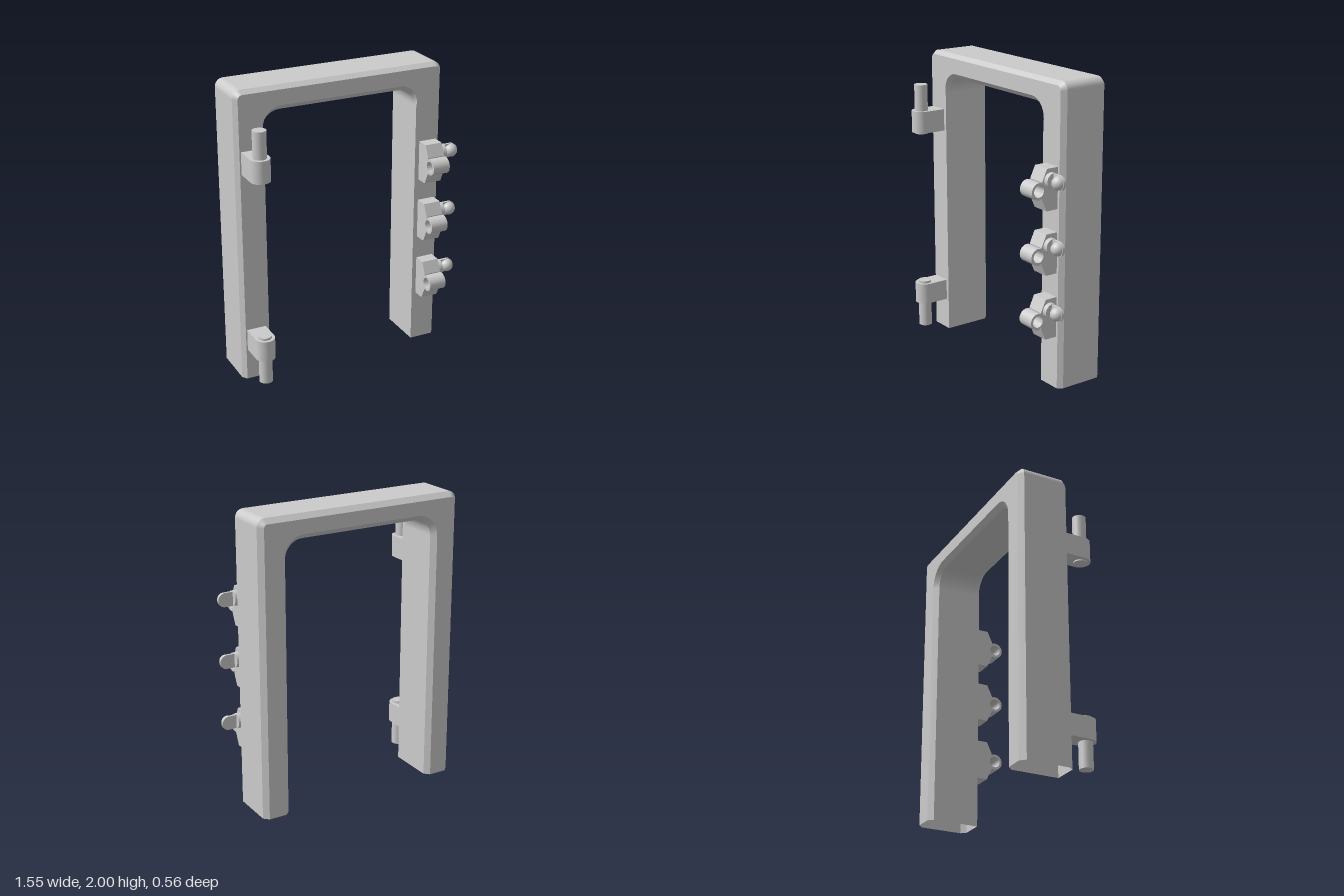
import * as THREE from 'three';
import { mergeGeometries } from 'three/addons/utils/BufferGeometryUtils.js';

const grey = new THREE.MeshStandardMaterial({ color: 0xcccccc, side: THREE.DoubleSide });

function add(parent, name, geometry, x = 0, y = 0, z = 0) {
  const mesh = new THREE.Mesh(geometry, grey);
  mesh.name = name;
  mesh.position.set(x, y, z);
  parent.add(mesh);
  return mesh;
}

// Arch path with rounded top corners: points with their outward normals
function archPath(left, right, top, r, n = 8) {
  const path = [{ x: left, y: 0, nx: -1, ny: 0 }];
  for (const [cx, start] of [[left + r, Math.PI], [right - r, Math.PI / 2]]) {
    for (let i = 0; i <= n; i++) {
      const a = start - (i / n) * Math.PI / 2;
      const nx = Math.cos(a), ny = Math.sin(a);
      path.push({ x: cx + nx * r, y: top - r + ny * r, nx, ny });
    }
  }
  path.push({ x: right, y: 0, nx: 1, ny: 0 });
  return path;
}

// Hollow chamfered arch, open at the feet; one smooth strip per side of its section
function archGeometry() {
  const outer = archPath(-0.78, 0.68, 2, 0.055);
  const inner = archPath(-0.59, 0.49, 1.84, 0.12);
  const c = 0.033, front = 0.07, back = -0.28;
  const rail = (path, z, inset) => path.map((p) => {
    const d = inset(p);
    return [p.x + p.nx * d, Math.max(0, p.y + p.ny * d), z];
  });
  const rails = [
    rail(outer, front - c, () => 0),
    rail(outer, back + c, () => 0),
    rail(outer, back, () => -c),
    rail(inner, back, () => c),
    rail(inner, back + c, () => 0),
    rail(inner, front - c, () => 0),
    rail(inner, front, (p) => c * Math.max(0, p.ny)), // front inner chamfer fades out on the legs
    rail(outer, front, () => -c * 0.75),
  ];
  const strips = rails.map((a, k) => {
    const b = rails[(k + 1) % rails.length];
    const n = a.length, index = [];
    for (let i = 0; i < n - 1; i++) index.push(i, i + 1, n + i, i + 1, n + i + 1, n + i);
    const g = new THREE.BufferGeometry();
    g.setAttribute('position', new THREE.Float32BufferAttribute([...a, ...b].flat(), 3));
    g.setIndex(index);
    g.computeVertexNormals();
    return g;
  });
  return mergeGeometries(strips);
}

const extrude = (shape, depth) =>
  new THREE.ExtrudeGeometry(shape, { depth, bevelEnabled: false, curveSegments: 16 });

// Hinge: round-nosed block with a vertical pin
function hinge(name, blockY, blockH, pinLow, pinHigh) {
  const g = new THREE.Group();
  g.name = name;
  const r = 0.066, nose = 0.212;
  const s = new THREE.Shape();
  s.moveTo(-r, -0.06);
  s.lineTo(r, -0.06);
  s.lineTo(r, -nose);
  s.absarc(0, -nose, r, 0, -Math.PI, true);
  s.closePath();
  const block = extrude(s, blockH);
  block.rotateX(-Math.PI / 2); // shape -y becomes +z, depth becomes +y
  add(g, 'hingeBlock', block, 0, blockY, 0);
  add(g, 'hingePin', new THREE.CylinderGeometry(0.045, 0.045, pinHigh - pinLow, 24),
    0, (pinLow + pinHigh) / 2, nose);
  g.position.x = -0.68;
  return g;
}

// Latch: tapered bracket with an eye, and a side tab carrying a domed button
function latch(y) {
  const g = new THREE.Group();
  g.name = 'latch';
  const width = 0.12;
  const eyeZ = 0.215, eyeR = 0.055, hole = 0.038;

  // Profiles are drawn with shape x = -z, so that depth runs along +x
  const along = (shape) => extrude(shape, width).rotateY(Math.PI / 2);
  const bracket = new THREE.Shape([
    [0.06, -0.135], [0.155, -0.135], [0.192, -0.055], [0.176, 0],
    [0.192, 0.055], [0.155, 0.135], [0.06, 0.135],
  ].map(([z, h]) => new THREE.Vector2(-z, h)));
  add(g, 'latchBracket', along(bracket), 0.52);

  const eye = new THREE.Shape().absarc(-eyeZ, 0, eyeR, 0, Math.PI * 2);
  eye.holes.push(new THREE.Path().absarc(-eyeZ, 0, hole, 0, Math.PI * 2, true));
  add(g, 'latchEye', along(eye), 0.52);

  const boss = new THREE.CylinderGeometry(0.05, 0.05, 0.035, 24).rotateZ(Math.PI / 2);
  add(g, 'tabBoss', boss, 0.655, 0.06, 0.127);

  const r = 0.047;
  const tab = new THREE.Shape();
  tab.moveTo(0.665, -r);
  tab.lineTo(0.727, -r);
  tab.absarc(0.727, 0, r, -Math.PI / 2, Math.PI / 2);
  tab.lineTo(0.665, r);
  tab.closePath();
  add(g, 'tab', extrude(tab, 0.017), 0, 0.06, 0.115);

  const dome = new THREE.SphereGeometry(0.045, 16, 6, 0, Math.PI * 2, 0, Math.PI / 2)
    .rotateX(Math.PI / 2);
  add(g, 'tabButton', dome, 0.725, 0.06, 0.132);

  g.position.y = y;
  return g;
}

export function createModel() {
  const model = new THREE.Group();
  model.name = 'doorFrame';
  add(model, 'arch', archGeometry());
  model.add(hinge('upperHinge', 1.46, 0.15, 1.45, 1.79));
  model.add(hinge('lowerHinge', 0.22, 0.145, 0.045, 0.38));
  for (const y of [1.34, 0.92, 0.49]) model.add(latch(y));
  return model;
}
